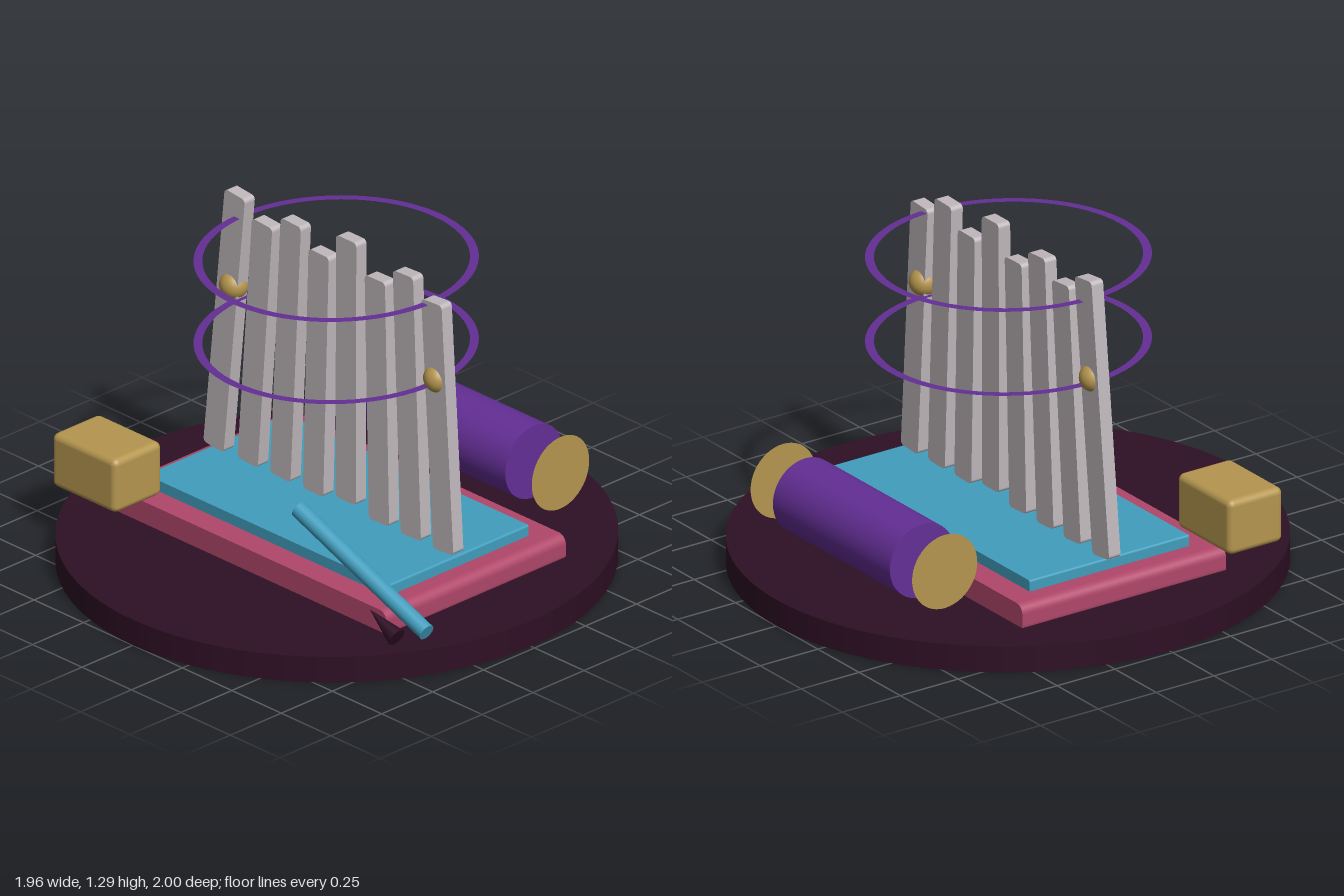
import * as THREE from 'three';
import { RoundedBoxGeometry } from 'three/addons/geometries/RoundedBoxGeometry.js';

const mat = (name, color, side = THREE.FrontSide) => {
  const m = new THREE.MeshStandardMaterial({ color, side });
  m.name = name;
  return m;
};

// Rounded rectangle in xy, extruded evenly about z = 0
function roundedSlab(w, h, depth, r) {
  const s = new THREE.Shape();
  const x = w / 2, y = h / 2, q = Math.PI / 2;
  s.absarc(x - r, y - r, r, 0, q);
  s.absarc(-x + r, y - r, r, q, 2 * q);
  s.absarc(-x + r, -y + r, r, 2 * q, 3 * q);
  s.absarc(x - r, -y + r, r, 3 * q, 4 * q);
  const g = new THREE.ExtrudeGeometry(s, { depth, bevelEnabled: false, curveSegments: 5 });
  return g.translate(0, 0, -depth / 2);
}

export function createModel() {
  const plum = mat('dark plum', 0x2e0f24);
  const rose = mat('rose', 0xb0476a);
  const teal = mat('teal', 0x419dbd);
  const grey = mat('pale grey', 0xbfb7bb);
  const violet = mat('violet', 0x642f96, THREE.DoubleSide);
  const gold = mat('gold', 0xb5964f, THREE.DoubleSide);

  const group = new THREE.Group();
  const add = (name, geometry, material, x = 0, y = 0, z = 0) => {
    const m = new THREE.Mesh(geometry, material);
    m.name = name;
    m.position.set(x, y, z);
    group.add(m);
    return m;
  };

  // Stepped base
  add('baseDisc', new THREE.CylinderGeometry(1, 1, 0.1, 96), plum, 0, 0.05, 0).scale.x = 0.982;
  add('lowerPlinth', roundedSlab(1.41, 0.11, 0.88, 0.035), rose, 0, 0.13, 0);
  add('upperPlinth', roundedSlab(1.23, 0.05, 0.69, 0.008), teal, 0, 0.202, 0);

  // Fanned slats: bottom x, bottom y, top x, top y
  [
    [-0.598, 0.23, -0.49, 1.26],
    [-0.425, 0.23, -0.352, 1.195],
    [-0.26, 0.23, -0.207, 1.25],
    [-0.094, 0.23, -0.066, 1.18],
    [0.071, 0.255, 0.073, 1.285],
    [0.239, 0.23, 0.218, 1.18],
    [0.4, 0.23, 0.36, 1.25],
    [0.564, 0.23, 0.504, 1.19],
  ].forEach(([x0, y0, x1, y1], i) => {
    const length = Math.hypot(x1 - x0, y1 - y0);
    const slat = add('slat' + (i + 1), roundedSlab(0.103, length, 0.05, 0.016), grey,
      (x0 + x1) / 2, (y0 + y1) / 2, 0);
    slat.rotation.z = -Math.atan2(x1 - x0, y1 - y0);
  });

  // Flat hoops around the slats
  for (const [name, y] of [['lowerHoop', 0.85], ['upperHoop', 1.173]]) {
    const g = new THREE.RingGeometry(0.48, 0.512, 72).rotateX(-Math.PI / 2);
    add(name, g, violet, -0.003, y, 0).scale.x = 0.962;
  }

  // Knobs on the outer slats
  add('rightKnob', new THREE.SphereGeometry(0.053, 24, 16), gold, -0.52, 0.888, 0);
  add('leftKnob', new THREE.SphereGeometry(0.053, 24, 16), gold, 0.512, 0.888, 0);

  // Block at the front
  add('block', new RoundedBoxGeometry(0.325, 0.21, 0.235, 3, 0.025), gold, -0.65, 0.308, 0.497);

  // Roll at the back with loose end discs
  add('roll', new THREE.CylinderGeometry(0.14, 0.14, 0.71, 48).rotateZ(Math.PI / 2), violet,
    -0.005, 0.285, -0.627);
  for (const s of [-1, 1]) {
    add(s < 0 ? 'rightRollDisc' : 'leftRollDisc',
      new THREE.CircleGeometry(0.141, 48).rotateY(s * Math.PI / 2), gold,
      s * 0.49 - 0.003, 0.29, -0.625);
  }

  // Leaning rod and its pointed tip, both running between two points
  const between = (name, geometry, material, [x0, y0], [x1, y1]) => {
    const m = add(name, geometry, material, (x0 + x1) / 2, (y0 + y1) / 2, 0.498);
    m.rotation.z = -Math.atan2(x1 - x0, y1 - y0);
  };
  between('rod', new THREE.CylinderGeometry(0.031, 0.031, 0.696, 24), teal, [0.968, 0.221], [0.32, 0.476]);
  between('rodTip', new THREE.ConeGeometry(0.036, 0.15, 24), plum, [0.816, 0.147], [0.68, 0.21]);

  return group;
}
